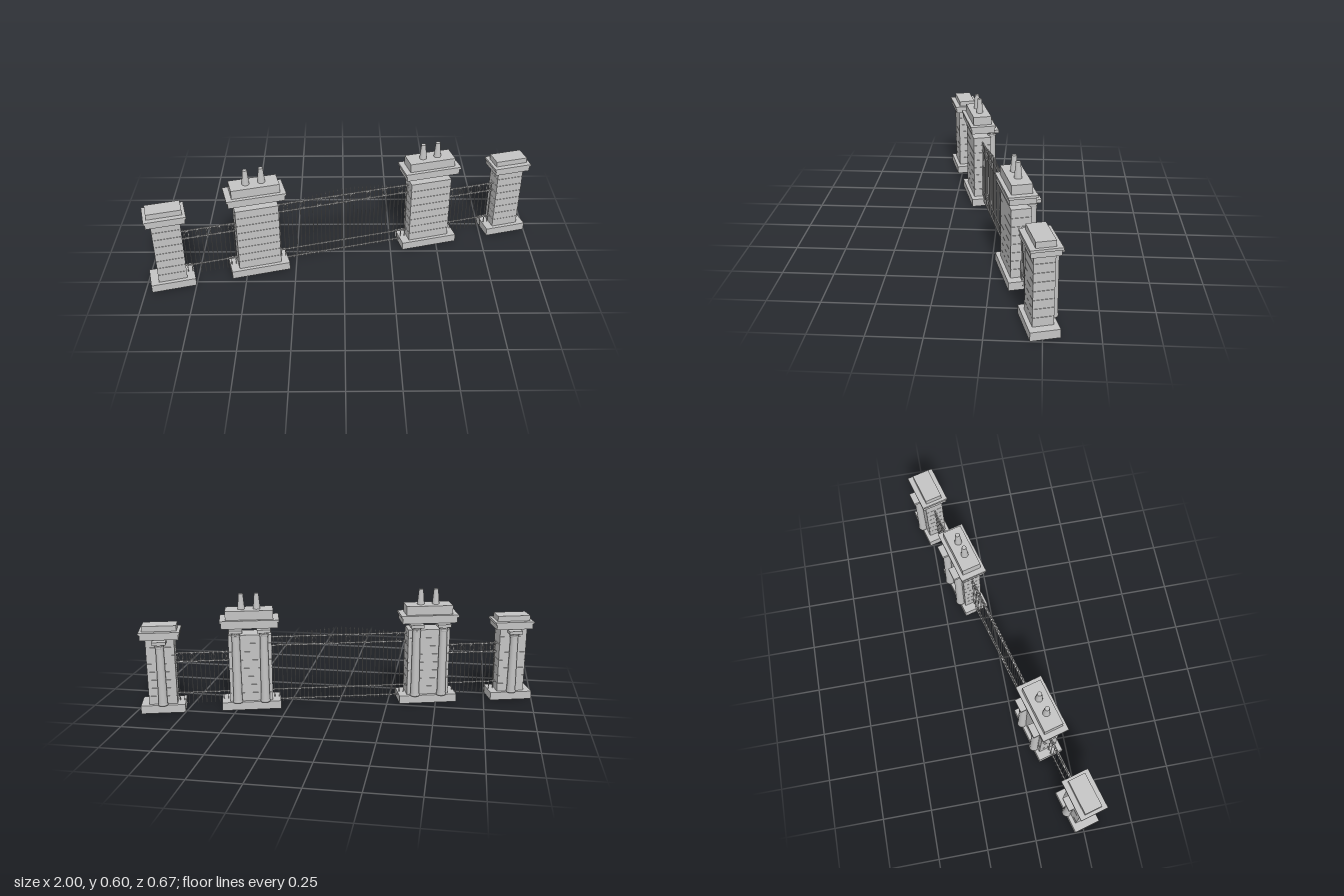
import * as THREE from 'three';

const stone = new THREE.MeshStandardMaterial({ color: 0xc4c4c4 });
stone.name = 'pale stone grey';

function add(parent, name, geometry, x, y, z) {
  const mesh = new THREE.Mesh(geometry, stone);
  mesh.name = name;
  mesh.position.set(x, y, z);
  parent.add(mesh);
  return mesh;
}

// Box given by its width, depth and the heights of its bottom and top
function slab(parent, name, w, d, y0, y1, x = 0, z = 0) {
  return add(parent, name, new THREE.BoxGeometry(w, y1 - y0, d), x, (y0 + y1) / 2, z);
}

// Coursed masonry shaft with fine recessed joints
function masonry(parent, w, d, y0, y1) {
  const courses = 8, pitch = (y1 - y0) / courses, joint = 0.0016;
  slab(parent, 'shaftCore', w - 0.006, d - 0.006, y0, y1 - 0.002);
  for (let i = 0; i < courses; i++) {
    slab(parent, 'stoneCourse', w, d, y0 + i * pitch + (i ? joint : 0), y0 + (i + 1) * pitch);
  }
}

// Round column with flared capital and square abacus, standing at the back
function column(parent, x, y1) {
  const z = -0.061, y0 = 0.042;
  const points = [
    [0, y0], [0.025, y0], [0.025, y0 + 0.008], [0.0225, y0 + 0.012],
    [0.02, y1 - 0.04], [0.023, y1 - 0.038], [0.023, y1 - 0.033], [0.021, y1 - 0.031],
    [0.027, y1 - 0.023], [0.031, y1 - 0.016], [0, y1 - 0.016],
  ].map(([r, y]) => new THREE.Vector2(r, y));
  add(parent, 'column', new THREE.LatheGeometry(points, 20), x, 0, z);
  slab(parent, 'columnAbacus', 0.068, 0.068, y1 - 0.016, y1, x, z);
}

// Large pillar beside the gate
function gatePillar(x) {
  const g = new THREE.Group();
  g.name = 'gatePillar';
  g.position.x = x;
  slab(g, 'plinth', 0.301, 0.133, 0, 0.042);
  masonry(g, 0.218, 0.095, 0.042, 0.393);
  slab(g, 'lowerCornice', 0.283, 0.126, 0.43, 0.46);
  slab(g, 'upperCornice', 0.297, 0.137, 0.46, 0.472);
  slab(g, 'topBlock', 0.24, 0.098, 0.472, 0.518);
  for (const s of [-1, 1]) {
    column(g, s * 0.07, 0.43);
    add(g, 'finial', new THREE.CylinderGeometry(0.0115, 0.0187, 0.08, 14), s * 0.039, 0.557, 0);
  }
  return g;
}

// Smaller pillar at the end of each side fence
function endPillar(x) {
  const g = new THREE.Group();
  g.name = 'endPillar';
  g.position.x = x;
  slab(g, 'plinth', 0.222, 0.135, 0, 0.042);
  masonry(g, 0.142, 0.095, 0.042, 0.385);
  slab(g, 'lowerCornice', 0.19, 0.132, 0.385, 0.412);
  slab(g, 'upperCornice', 0.203, 0.141, 0.412, 0.424);
  slab(g, 'topBlock', 0.171, 0.088, 0.424, 0.452);
  column(g, 0, 0.382);
  return g;
}

// Pointed oval ring between the two upper rails
function ovalGeometry(w, h) {
  const outline = (path, a, b) => {
    path.moveTo(0, -b);
    path.quadraticCurveTo(a * 1.7, 0, 0, b);
    path.quadraticCurveTo(-a * 1.7, 0, 0, -b);
    return path;
  };
  const shape = outline(new THREE.Shape(), w / 2, h / 2);
  shape.holes.push(outline(new THREE.Path(), w / 2 - 0.004, h / 2 - 0.005));
  const geo = new THREE.ExtrudeGeometry(shape, { depth: 0.003, bevelEnabled: false, curveSegments: 8 });
  return geo.translate(0, 0, -0.0015);
}

// Railing panel: rails, pointed bars and a row of ovals
function railing(name, x0, x1, bottom, rails, bars, ovals, ovalBand, topAt) {
  const g = new THREE.Group();
  g.name = name;
  const w = x1 - x0, mid = (x0 + x1) / 2;
  for (const y of rails) slab(g, 'rail', w, 0.006, y - 0.003, y + 0.003, mid);
  for (let i = 0; i < bars; i++) {
    const t = (i + 0.5) / bars, x = x0 + w * t, top = topAt(t), tip = 0.012;
    add(g, 'bar', new THREE.CylinderGeometry(0.002, 0.002, top - tip - bottom, 6), x, (top - tip + bottom) / 2, 0);
    add(g, 'spearTip', new THREE.ConeGeometry(0.0032, tip, 6), x, top - tip / 2, 0);
  }
  const [b0, b1] = ovalBand;
  const geo = ovalGeometry(0.03, b1 - b0);
  for (let i = 0; i < ovals; i++) {
    add(g, 'ovalOrnament', geo, x0 + (w * (i + 0.5)) / ovals, (b0 + b1) / 2, 0);
  }
  return g;
}

export function createModel() {
  const model = new THREE.Group();
  model.name = 'gateway';

  // The whole row stands turned across the plot
  const row = new THREE.Group();
  row.name = 'gateRow';
  row.rotation.y = THREE.MathUtils.degToRad(15.1);
  row.position.z = 0.003;
  model.add(row);

  for (const s of [-1, 1]) {
    row.add(gatePillar(s * 0.459), endPillar(s * 0.906));
    const [a, b] = s < 0 ? [-0.836, -0.567] : [0.567, 0.836];
    row.add(railing('sideFence', a, b, 0.025, [0.083, 0.25, 0.296], 12, 5, [0.25, 0.294], () => 0.307));
  }

  // Gate with bars rising in a gentle arch
  row.add(railing('gate', -0.35, 0.35, 0.016, [0.03, 0.083, 0.322, 0.367], 32, 8, [0.322, 0.365],
    (t) => 0.378 + 0.033 * Math.sin(Math.PI * t) ** 2));
  return model;
}
